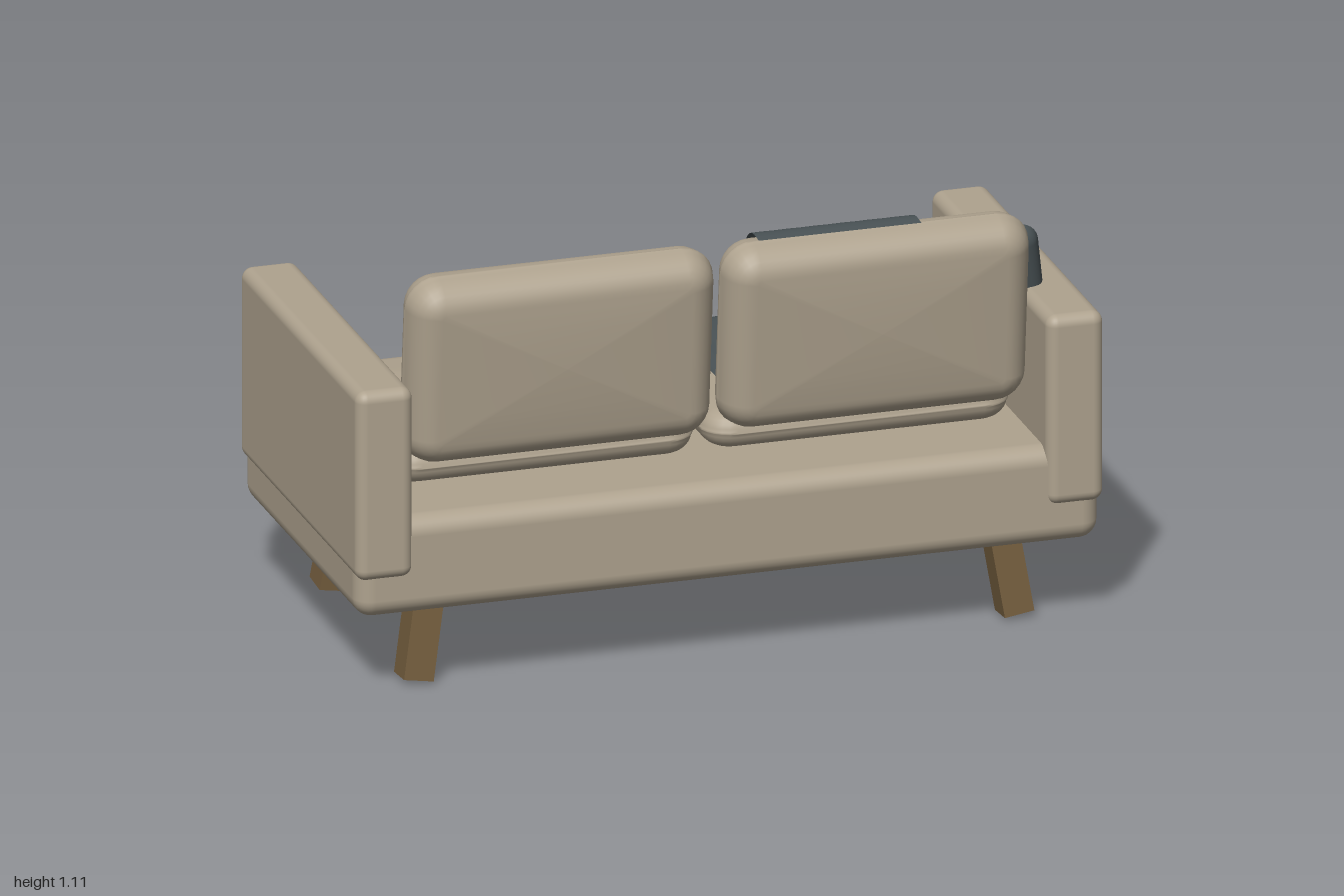
import * as THREE from 'three';
import { RoundedBoxGeometry } from 'three/addons/geometries/RoundedBoxGeometry.js';

// Rounded-rectangle outline in xy, counter-clockwise
function outline(w, h, r, corner = 6) {
  const pts = [];
  [[1, 1], [-1, 1], [-1, -1], [1, -1]].forEach(([sx, sy], q) => {
    for (let i = 0; i <= corner; i++) {
      const a = (q + i / corner) * Math.PI / 2;
      pts.push([sx * (w / 2 - r) + r * Math.cos(a), sy * (h / 2 - r) + r * Math.sin(a)]);
    }
  });
  return pts;
}

// Soft cushion: rings from back to front, rounded rim, raised seam and a slight crown
function cushionGeometry(w, h, t, r, edge, crown) {
  const rim = t / 2 - crown, rings = [], steps = 7;
  const inset = (d, z) => rings.push(
    outline(w - 2 * d, h - 2 * d, Math.max(r - d, 0.012)).map(([x, y]) => [x, y, z]));
  const scaled = (s, z) => rings.push(
    outline(w - 2 * edge, h - 2 * edge, Math.max(r - edge, 0.012)).map(([x, y]) => [x * s, y * s, z]));
  scaled(0.001, -t / 2);
  scaled(0.6, -t / 2 + crown * 0.25);
  for (let i = -steps; i < 0; i++) {
    const a = i / steps * Math.PI / 2;
    inset(edge * (1 - Math.cos(a)), rim * Math.sin(a));
  }
  inset(0, -0.003);
  inset(-0.003, 0);
  inset(0, 0.003);
  for (let i = 1; i <= steps; i++) {
    const a = i / steps * Math.PI / 2;
    inset(edge * (1 - Math.cos(a)), rim * Math.sin(a));
  }
  scaled(0.6, t / 2 - crown * 0.25);
  scaled(0.001, t / 2);

  const n = rings[0].length, index = [];
  for (let k = 0; k < rings.length - 1; k++) {
    for (let i = 0; i < n; i++) {
      const a = k * n + i, b = k * n + (i + 1) % n;
      index.push(a, b, b + n, a, b + n, a + n);
    }
  }
  const g = new THREE.BufferGeometry();
  g.setAttribute('position', new THREE.Float32BufferAttribute(rings.flat(2), 3));
  g.setIndex(index);
  g.computeVertexNormals();
  return g;
}

// Draped cloth: a strip swept along a side curve of (z, y) points
function throwGeometry(x0, x1) {
  const path = new THREE.CatmullRomCurve3([
    [0.4, 1.11], [0.36, 1.113], [0.32, 1.102], [0.273, 1.045], [0.255, 0.92],
    [0.232, 0.75], [0.205, 0.66], [0.13, 0.616], [0, 0.61], [-0.3, 0.61],
    [-0.4, 0.604], [-0.45, 0.57], [-0.467, 0.515], [-0.488, 0.47],
    [-0.492, 0.35], [-0.491, 0.235],
  ].map(([z, y]) => new THREE.Vector3(0, y, z)));
  const nu = 24, nv = 80, g = new THREE.PlaneGeometry(1, 1, nu, nv);
  const pos = g.attributes.position;
  for (let j = 0; j <= nv; j++) {
    const v = j / nv, p = path.getPointAt(v), tan = path.getTangentAt(v);
    for (let i = 0; i <= nu; i++) {
      const u = i / nu;
      const ripple = 0.004 * Math.sin(u * 19 + v * 5) * Math.sin(Math.PI * v);
      pos.setXYZ(j * (nu + 1) + i, x0 + (x1 - x0) * u,
        p.y - tan.z * Math.abs(ripple), p.z + tan.y * Math.abs(ripple));
    }
  }
  g.computeVertexNormals();
  return g;
}

export function createModel() {
  const model = new THREE.Group();
  const fabric = new THREE.MeshStandardMaterial({ color: 0xaea28e });
  const cloth = new THREE.MeshStandardMaterial({ color: 0x4a5356, side: THREE.DoubleSide });
  const wood = new THREE.MeshStandardMaterial({ color: 0x765f3f });
  fabric.name = 'beigeFabric';
  cloth.name = 'slateCloth';
  wood.name = 'brownWood';

  const add = (name, geometry, material, x, y, z, parent = model) => {
    const m = new THREE.Mesh(geometry, material);
    m.name = name;
    m.position.set(x, y, z);
    parent.add(m);
    return m;
  };

  // Upholstered base
  add('base', new RoundedBoxGeometry(1.99, 0.265, 0.97, 4, 0.05), fabric, 0, 0.3575, 0);

  const armGeo = new RoundedBoxGeometry(0.152, 0.515, 1, 4, 0.03);
  const seatGeo = cushionGeometry(0.82, 0.715, 0.125, 0.08, 0.06, 0.012);
  const backGeo = cushionGeometry(0.82, 0.515, 0.19, 0.085, 0.075, 0.01);
  const pillowGeo = cushionGeometry(0.36, 0.385, 0.105, 0.05, 0.045, 0.014);
  const legGeo = new THREE.BoxGeometry(0.08, 0.27, 0.085);

  for (const s of [1, -1]) {
    const side = s > 0 ? 'left' : 'right';
    add(side + 'Arm', armGeo, fabric, s * 0.924, 0.5925, 0);
    add(side + 'SeatCushion', seatGeo, fabric, s * 0.422, 0.54, -0.088).rotation.x = -Math.PI / 2;
    add(side + 'BackCushion', backGeo, fabric, s * 0.422, 0.846, 0.355).rotation.x = 0.1;

    // Scatter pillow leaning on the backrest
    const pillow = add(side + 'Pillow', pillowGeo, cloth,
      s > 0 ? 0.74 : -0.55, 0.808, s > 0 ? 0.222 : 0.208);
    pillow.rotation.set(0.14, 0, s * 0.14);

    // Splayed legs
    for (const e of [1, -1]) {
      const leg = add(side + (e > 0 ? 'FrontLeg' : 'RearLeg'), legGeo, wood,
        s * 0.783, 0.144, e * 0.345);
      leg.rotation.set(-e * 0.08, 0, s * 0.155);
    }
  }

  // Throw blanket with fringe
  const blanket = new THREE.Group();
  blanket.name = 'throwBlanket';
  model.add(blanket);
  add('throwCloth', throwGeometry(0.105, 0.54), cloth, 0, 0, 0, blanket);
  const strands = 18;
  for (let i = 0; i < strands; i++) {
    const len = 0.035 + 0.014 * Math.sin(i * 2.4);
    const strand = add('fringeStrand', new THREE.BoxGeometry(0.004, len, 0.004), cloth,
      0.11 + 0.425 * i / (strands - 1), 0.238 - len / 2, -0.488, blanket);
    strand.rotation.z = 0.12 * Math.sin(i * 1.7);
  }
  return model;
}
